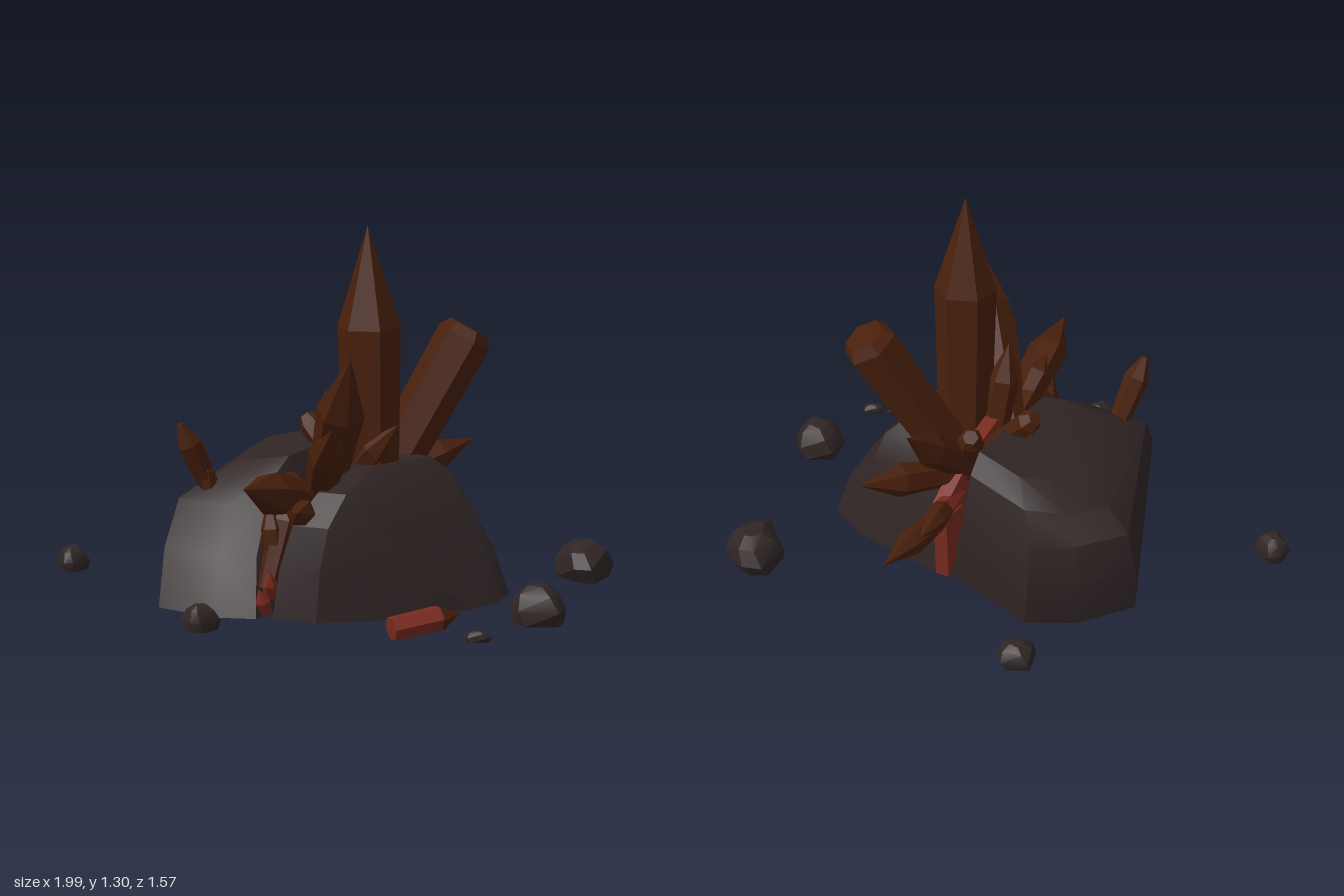
import * as THREE from 'three';
import { toCreasedNormals } from 'three/addons/utils/BufferGeometryUtils.js';
import { ConvexGeometry } from 'three/addons/geometries/ConvexGeometry.js';

const rockMat = new THREE.MeshStandardMaterial({ color: 0x302525 });
rockMat.name = 'dark rock';
const crystalMat = new THREE.MeshStandardMaterial({ color: 0x49200c });
crystalMat.name = 'brown crystal';
const redMat = new THREE.MeshStandardMaterial({ color: 0x7a2b20 });
redMat.name = 'red crystal';

const GROUND = 0.035;

// The split runs from the front left to the rear right
const splitStart = new THREE.Vector3(-0.245, 0, 0.46);
const splitEnd = new THREE.Vector3(0.23, 0, -0.255);

function mesh(name, geometry, material) {
  const m = new THREE.Mesh(geometry, material);
  m.name = name;
  return m;
}

const rock = (name, points) => mesh(name, toCreasedNormals(new ConvexGeometry(points), 0.45), rockMat);

// Boulder: one base outline repeated upward; each layer has its height, x and z shrink,
// x and z shift, sideways tilt and a diagonal limit that slopes the front left corner
function boulder(name, [cx, cz], outline, layers) {
  const points = layers.flatMap(([y, sx, sz, dx, dz, tilt, limit]) => outline.map(([px, pz]) => {
    const x = cx + (px - cx) * sx + dx, z = cz + (pz - cz) * sz + dz;
    const excess = Math.max(0, x + z - limit) / 2;
    return new THREE.Vector3(x - excess, y + (px - cx) * tilt, z - excess);
  }));
  return rock(name, points);
}

// Faceted six-sided solid of revolution
function facets(profile) {
  const geo = new THREE.LatheGeometry(profile.map((p) => new THREE.Vector2(...p)), 6).toNonIndexed();
  geo.computeVertexNormals();
  return geo;
}

// Crystal between two points; tip = pointed share, blunt = end width, red = red share at the root
function crystal(name, from, to, r, { tip = 0.36, blunt = 0, red = 0, root = 0.75 } = {}) {
  const dir = to.clone().sub(from), L = dir.length();
  const group = new THREE.Group();
  group.name = name;
  const shoulder = (1 - tip) * L, cut = red * L;
  const rCut = r * (root + (1 - root) * cut / shoulder);
  group.add(mesh(name + 'Shaft', facets([
    [0, cut], [rCut, cut], [r, shoulder], [blunt * r, L], ...(blunt ? [[0, L]] : []),
  ]), crystalMat));
  if (red) group.add(mesh(name + 'Root', facets([[0, 0], [root * r, 0], [rCut, cut], [0, cut]]), redMat));
  group.position.copy(from);
  group.quaternion.setFromUnitVectors(new THREE.Vector3(0, 1, 0), dir.normalize());
  group.rotateY(0.3);
  return group;
}

// Small loose stone with a flat base
function pebble(i, [x, z, width, depth, height]) {
  const points = [];
  [[0, 0.86], [0.4, 1], [0.8, 0.75], [1, 0.36]].forEach(([t, s], k) => {
    for (let j = 0; j < 6; j++) {
      const a = (j + 0.27 * Math.sin(i * 3 + j * 2.3) + 0.2 * k) * Math.PI / 3;
      const r = s * (1.03 + 0.07 * Math.sin(i * 5 + j * 4 + k)) / 2;
      points.push(new THREE.Vector3(x + Math.cos(a) * r * width, GROUND + t * height, z + Math.sin(a) * r * depth));
    }
  });
  return rock('pebble' + (i + 1), points);
}

export function createModel() {
  const model = new THREE.Group();
  model.name = 'crystalRock';

  // Two halves of the split boulder
  model.add(boulder('rearBoulder', [-0.2, -0.1],
    [[-0.6, 0.3], [-0.41, -0.5], [-0.2, -0.56], [-0.02, -0.54], [0.2, -0.27], [-0.275, 0.46], [-0.4, 0.44]],
    [[GROUND, 1, 1, 0, 0, 0, 1], [0.22, 0.96, 0.92, 0, -0.06, 0, 1], [0.37, 0.87, 0.78, 0.01, -0.1, 0, 1],
      [0.46, 0.74, 0.66, 0.04, -0.09, 0.1, 1], [0.52, 0.55, 0.48, 0.08, -0.06, 0.08, 1]]));
  model.add(boulder('frontBoulder', [0.2, 0.13],
    [[-0.22, 0.46], [-0.08, 0.52], [0.1, 0.5], [0.45, 0.37], [0.55, 0.27], [0.59, 0.15], [0.52, 0.01], [0.25, -0.25]],
    [[GROUND, 1, 1, 0, 0, 0, 0.8], [0.2, 0.92, 0.97, -0.01, 0, 0, 0.67], [0.34, 0.82, 0.9, -0.01, 0.01, 0, 0.56],
      [0.44, 0.64, 0.74, 0, 0.01, 0, 0.47], [0.5, 0.4, 0.4, 0, -0.02, 0, 0.38]]));

  // Red vein inside the split
  const outline = [[0.42, 0.05], [0.12, 0.22], [0.14, 0.3], [0.25, 0.42], [0.5, 0.48], [0.7, 0.45], [0.88, 0.36], [0.87, 0.04]];
  const veinGeo = new THREE.ExtrudeGeometry(new THREE.Shape(outline.map((p) => new THREE.Vector2(...p))),
    { depth: 0.05, bevelEnabled: false });
  const vein = mesh('redVein', veinGeo.translate(0, 0, -0.025), redMat);
  vein.position.copy(splitStart);
  vein.rotation.y = Math.atan2(splitStart.z - splitEnd.z, splitEnd.x - splitStart.x);
  model.add(vein);

  // Red root showing below the split
  const root = mesh('rootCrystal', facets([[0, 0], [0.1, 0], [0.118, 0.08], [0, 0.08]]), redMat);
  root.position.set(0.085, 0.019, 0.035);
  root.rotation.x = 0.18;
  model.add(root);

  // Large and free-standing crystals
  const V = (x, y, z) => new THREE.Vector3(x, y, z);
  const stub = { tip: 0.12, blunt: 0.6 };
  model.add(
    crystal('mainCrystal', V(0.118, 0.35, 0.115), V(0.1, 1.3, 0.175), 0.108, { root: 0.87 }),
    crystal('bluntCrystal', V(0.17, 0.4, -0.045), V(0.465, 0.93, -0.066), 0.098, { tip: 0.06, blunt: 0.75, root: 0.92 }),
    crystal('outlyingCrystal', V(-0.41, 0.35, 0.07), V(-0.53, 0.63, 0.15), 0.045, { tip: 0.25, blunt: 0.25 }),
    crystal('outlyingSmallCrystal', V(-0.42, 0.33, 0.11), V(-0.46, 0.53, 0.1), 0.032),
    crystal('looseCrystal', V(0.15, 0.075, 0.745), V(0.375, 0.1, 0.65), 0.042, { red: 0.68, tip: 0.3, root: 0.95 }),
    crystal('crackCrystal', V(-0.235, 0.12, 0.4), V(-0.15, 0.46, 0.32), 0.05),
    crystal('crackSmallCrystal', V(-0.2, 0.12, 0.38), V(-0.23, 0.43, 0.36), 0.04),
  );

  // Crystals fanning out of the split: place along it, tip, radius
  const fan = [
    ['frontTallCrystal', 0.42, [0.03, 0.9, 0.56], 0.08],
    ['frontMidCrystal', 0.38, [-0.03, 0.69, 0.66], 0.065],
    ['frontLowCrystal', 0.36, [-0.31, 0.5, 0.64], 0.072],
    ['frontSideCrystal', 0.3, [-0.14, 0.4, 0.53], 0.05],
    ['frontInnerCrystal', 0.33, [-0.21, 0.5, 0.4], 0.05],
    ['smallRightCrystal', 0.5, [0.2, 0.64, 0.25], 0.05],
    ['leftInnerCrystal', 0.55, [-0.04, 0.74, 0.12], 0.055],
    ['bluntLeftCrystal', 0.65, [-0.1, 0.61, -0.15], 0.045, stub],
    ['bluntRearCrystal', 0.75, [0.13, 0.62, -0.25], 0.045, stub],
    ['rearTallCrystal', 0.78, [0.35, 0.73, -0.38], 0.06],
    ['rearMidCrystal', 0.8, [0.51, 0.5, -0.32], 0.06],
    ['rearUpperCrystal', 0.75, [0.3, 0.63, -0.31], 0.045],
    ['rearLowCrystal', 0.9, [0.45, 0.34, -0.55], 0.045, { red: 0.35 }],
    ['rearLowSmallCrystal', 0.88, [0.32, 0.39, -0.48], 0.042, { red: 0.4 }],
  ];
  for (const [name, along, tip, radius, options] of fan) {
    const from = splitStart.clone().lerp(splitEnd, along);
    from.y = Math.min(0.38, tip[1] - 0.06);
    model.add(crystal(name, from, V(...tip), radius, options));
  }

  // Small red shards low in the front of the split
  for (let i = 0; i < 3; i++) {
    const shard = mesh('redShard' + (i + 1), facets([[0, 0], [0.02, 0], [0.026, 0.05], [0, 0.1]]), redMat);
    shard.position.set(-0.24 + 0.012 * i, 0.045 + i * 0.05, 0.42 - 0.02 * i);
    shard.rotation.set(0.4, 0.5 * i, 0.25 - 0.25 * i);
    model.add(shard);
  }

  // Loose pebbles: x, z, width, depth, height
  [[-0.942, -0.27, 0.116, 0.13, 0.085], [0.025, -0.722, 0.13, 0.14, 0.08], [0.885, -0.095, 0.22, 0.24, 0.13],
    [0.64, 0.525, 0.18, 0.21, 0.125], [-0.45, 0.595, 0.12, 0.09, 0.085], [0.422, 0.752, 0.085, 0.055, 0.035],
  ].forEach((p, i) => model.add(pebble(i, p)));

  return model;
}
